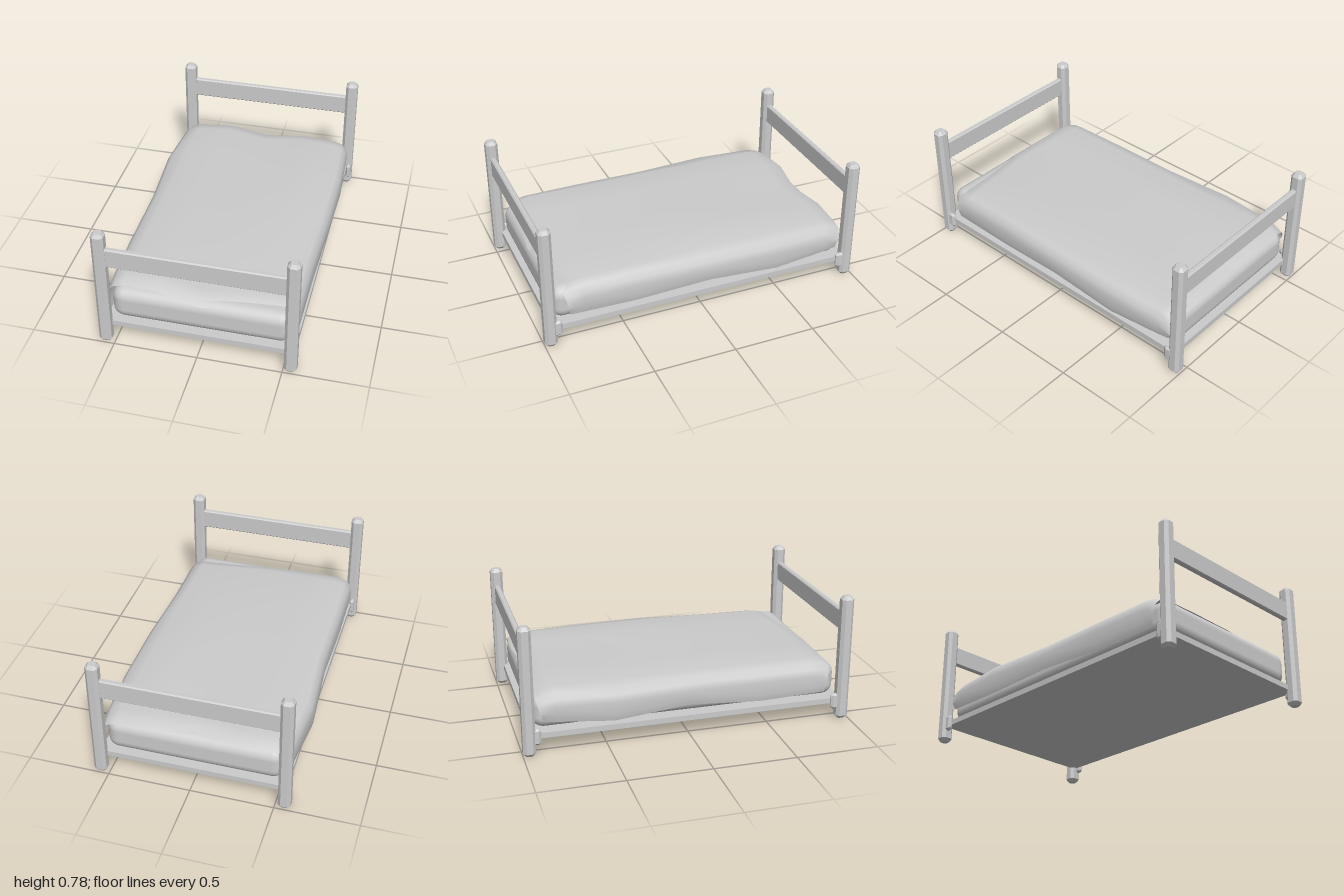
import * as THREE from 'three';
import { RoundedBoxGeometry } from 'three/addons/geometries/RoundedBoxGeometry.js';

const flat = new THREE.MeshStandardMaterial({ color: 0xcccccc, flatShading: true });
const smooth = new THREE.MeshStandardMaterial({ color: 0xcccccc });
const cloth = new THREE.MeshStandardMaterial({ color: 0xcccccc, side: THREE.DoubleSide });

// Bar with chamfered edges and ends, centred, running along z
function chamferedBar(w, h, length, c, endBevel) {
  const x = w / 2, y = h / 2;
  const shape = new THREE.Shape([
    [x - c, -y], [x, -y + c], [x, y - c], [x - c, y],
    [-x + c, y], [-x, y - c], [-x, -y + c], [-x + c, -y],
  ].map(([a, b]) => new THREE.Vector2(a, b)));
  const depth = length - 2 * endBevel;
  return new THREE.ExtrudeGeometry(shape, {
    depth, bevelEnabled: true, bevelSegments: 1,
    bevelThickness: endBevel, bevelSize: c * 0.9, bevelOffset: -c * 0.9,
  }).translate(0, 0, -depth / 2);
}

function add(parent, name, geometry, material, x, y, z) {
  const mesh = new THREE.Mesh(geometry, material);
  mesh.name = name;
  mesh.position.set(x, y, z);
  parent.add(mesh);
  return mesh;
}

// Piecewise-linear lookup in evenly spaced values, t in 0..1
function sample(values, t) {
  const f = t * (values.length - 1);
  const i = Math.min(Math.floor(f), values.length - 2);
  return THREE.MathUtils.lerp(values[i], values[i + 1], f - i);
}

// Uneven draped sheet, lofted from cross-sections along z
function blanketGeometry() {
  const leftX = [-0.565, -0.6, -0.57, -0.57, -0.562];
  const rightX = [0.56, 0.583, 0.58, 0.562, 0.562];
  const hem = [0.2, 0.17, 0.2, 0.17, 0.18];
  const backZ = [-0.91, -0.925, -0.89, -0.93, -0.925];
  const frontZ = [0.88, 0.885, 0.922, 0.89, 0.865];
  const backTop = [0.375, 0.385, 0.368, 0.375, 0.365];
  const midTop = [0.38, 0.395, 0.385, 0.402, 0.375];
  const frontTop = [0.38, 0.385, 0.362, 0.362, 0.36];
  const frontEdge = [0.352, 0.352, 0.318, 0.316, 0.33];
  const rows = [0, 0.025, 0.06, 0.25, 0.5, 0.75, 0.94, 0.975, 1];
  const topX = [-0.47, -0.25, 0, 0.25, 0.47];
  const pos = [], index = [];

  for (const t of rows) {
    const xl = sample(leftX, t), xr = sample(rightX, t), h = sample(hem, t);
    const end = Math.max(0, Math.abs(t - 0.5) * 2 - 0.88) / 0.12;
    const tops = topX.map((_, i) => {
      const ridge = t < 0.5
        ? THREE.MathUtils.lerp(backTop[i], midTop[i], t * 2)
        : THREE.MathUtils.lerp(midTop[i], frontTop[i], t * 2 - 1);
      const edge = t < 0.5 ? backTop[i] - 0.035 : frontEdge[i];
      return THREE.MathUtils.lerp(ridge, edge, end * end);
    });
    const z = (i) => THREE.MathUtils.lerp(backZ[i], frontZ[i], t);
    const side = (s, x, i) => {
      const y = tops[i], zz = z(i);
      return [
        [x - s * 0.01, h, zz * (1 - 0.035 * end)],
        [x, h + 0.04, zz * (1 - 0.03 * end)],
        [x, y - 0.09, zz * (1 - 0.02 * end)],
        [x - s * 0.01, y - 0.05, zz * (1 - 0.01 * end)],
        [x - s * 0.04, y - 0.016, zz],
      ];
    };
    const section = [
      ...side(-1, xl, 0),
      ...topX.map((x, i) => [x, tops[i], z(i)]),
      ...side(1, xr, 4).reverse(),
    ];
    section.forEach((p) => pos.push(...p));
  }

  const n = pos.length / 3 / rows.length;
  for (let r = 0; r < rows.length - 1; r++) {
    for (let c = 0; c < n - 1; c++) {
      const a = r * n + c, b = a + n;
      index.push(a, b, a + 1, a + 1, b, b + 1);
    }
  }
  const g = new THREE.BufferGeometry();
  g.setAttribute('position', new THREE.Float32BufferAttribute(pos, 3));
  g.setIndex(index);
  g.computeVertexNormals();
  return g;
}

export function createModel() {
  const bed = new THREE.Group();
  bed.name = 'bed';

  // Corner posts
  const post = chamferedBar(0.075, 0.075, 0.785, 0.018, 0.02).rotateX(-Math.PI / 2);
  // Cross boards
  const board = chamferedBar(0.035, 0.125, 1.06, 0.007, 0.005).rotateY(Math.PI / 2);
  // Small brackets joining the base to the posts
  const bracket = chamferedBar(0.03, 0.1, 0.06, 0.012, 0.015);

  for (const s of [-1, 1]) {
    const end = new THREE.Group();
    end.name = s > 0 ? 'footEnd' : 'headEnd';
    bed.add(end);
    const leftX = s > 0 ? 0.543 : 0.556;
    add(end, 'rightPost', post, flat, -0.556, 0.3925, s * 0.962);
    add(end, 'leftPost', post, flat, leftX, 0.3925, s * 0.962);
    add(end, 'crossBoard', board, flat, 0, 0.6175, s * 0.962);
    add(end, 'rightBracket', bracket, flat, -0.565, 0.115, s * 0.92);
    add(end, 'leftBracket', bracket, flat, leftX + 0.017, 0.115, s * 0.92);
  }

  // Base panel
  add(bed, 'basePanel', new THREE.BoxGeometry(1.12, 0.034, 1.9), flat, 0, 0.116, 0);

  // Mattress and bedding
  add(bed, 'mattress', new RoundedBoxGeometry(1.06, 0.21, 1.86, 3, 0.07), smooth, 0, 0.24, 0);
  add(bed, 'blanket', blanketGeometry(), cloth, 0, 0, 0);

  return bed;
}
